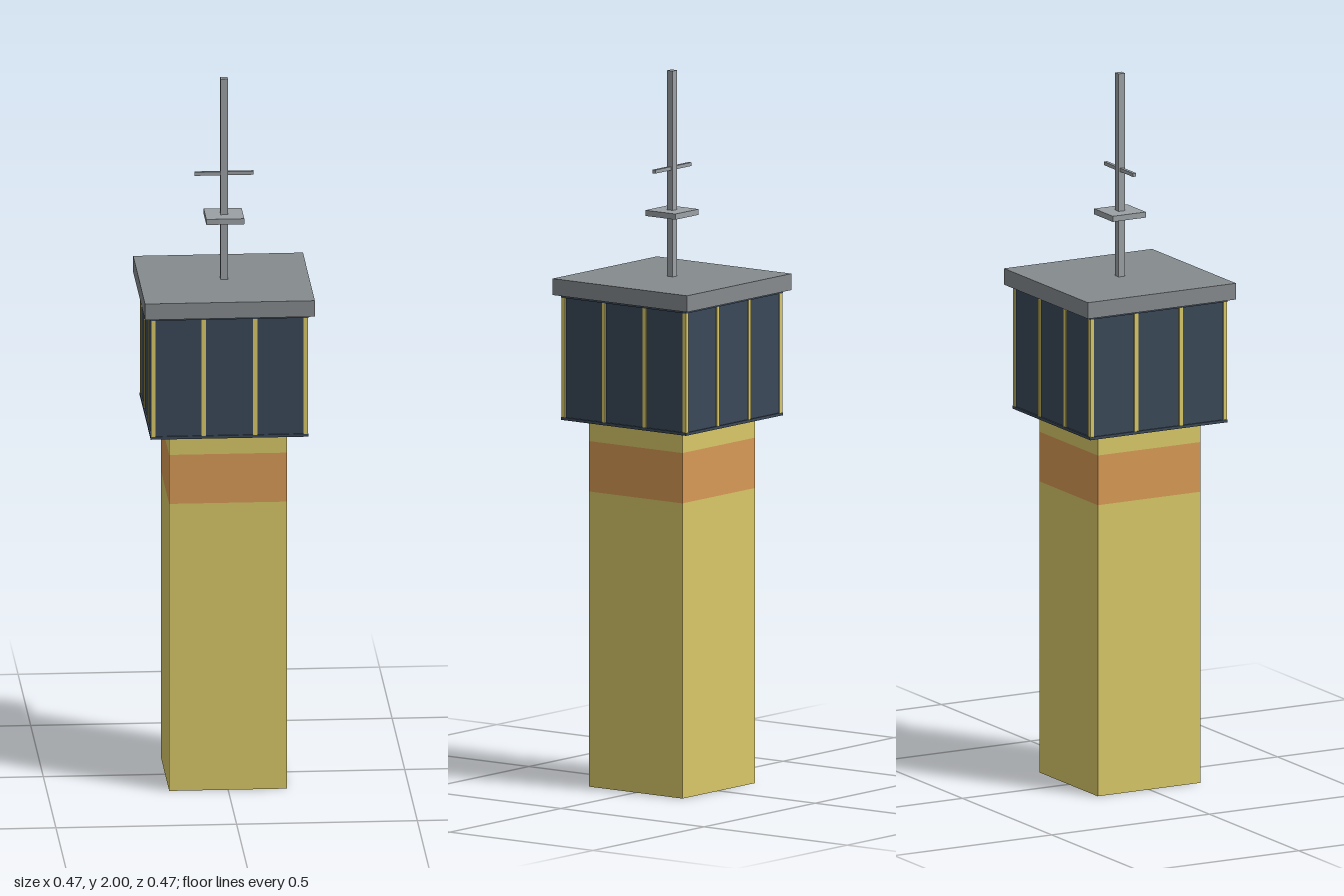
import * as THREE from 'three';

const paint = (color) => new THREE.MeshStandardMaterial({ color });

export function createModel() {
  const model = new THREE.Group();
  model.name = 'controlTower';
  const yellow = paint(0xd8c868);
  const orange = paint(0xd89a56);
  const navy = paint(0x3a4858);
  const roofGrey = paint(0x858a8d);
  const mastGrey = paint(0x9aa0a4);

  // Box given by its width, depth and bottom and top heights
  const block = (name, material, width, depth, y0, y1, x = 0, z = 0, parent = model) => {
    const mesh = new THREE.Mesh(new THREE.BoxGeometry(width, y1 - y0, depth), material);
    mesh.name = name;
    mesh.position.set(x, (y0 + y1) / 2, z);
    parent.add(mesh);
    return mesh;
  };

  // Shaft with its painted band
  block('lowerShaft', yellow, 0.326, 0.326, 0, 0.826);
  block('shaftBand', orange, 0.326, 0.326, 0.826, 0.967);
  block('upperShaft', yellow, 0.326, 0.326, 0.967, 1.03);

  // Glazed cabin between a floor slab and a head rail
  block('cabinFloor', navy, 0.436, 0.436, 1.028, 1.036);
  block('cabinGlass', navy, 0.428, 0.428, 1.036, 1.37);
  block('cabinHead', navy, 0.436, 0.436, 1.37, 1.378);

  // Four mullions on each of the four sides, the outer ones near the corners
  for (let side = 0; side < 4; side++) {
    const frame = new THREE.Group();
    frame.name = 'mullions' + (side + 1);
    frame.rotation.y = side * Math.PI / 2;
    for (const x of [-0.211, -0.071, 0.071, 0.211]) {
      block('mullion', yellow, 0.012, 0.007, 1.036, 1.37, x, 0.2135, frame);
    }
    model.add(frame);
  }

  // Overhanging flat roof
  block('roof', roofGrey, 0.47, 0.47, 1.378, 1.424);

  // Antenna mast with a small platform and a crossbar
  block('mast', mastGrey, 0.02, 0.02, 1.424, 2);
  block('mastPlatform', mastGrey, 0.105, 0.105, 1.594, 1.61);
  block('crossbar', mastGrey, 0.163, 0.01, 1.722, 1.732);

  return model;
}
